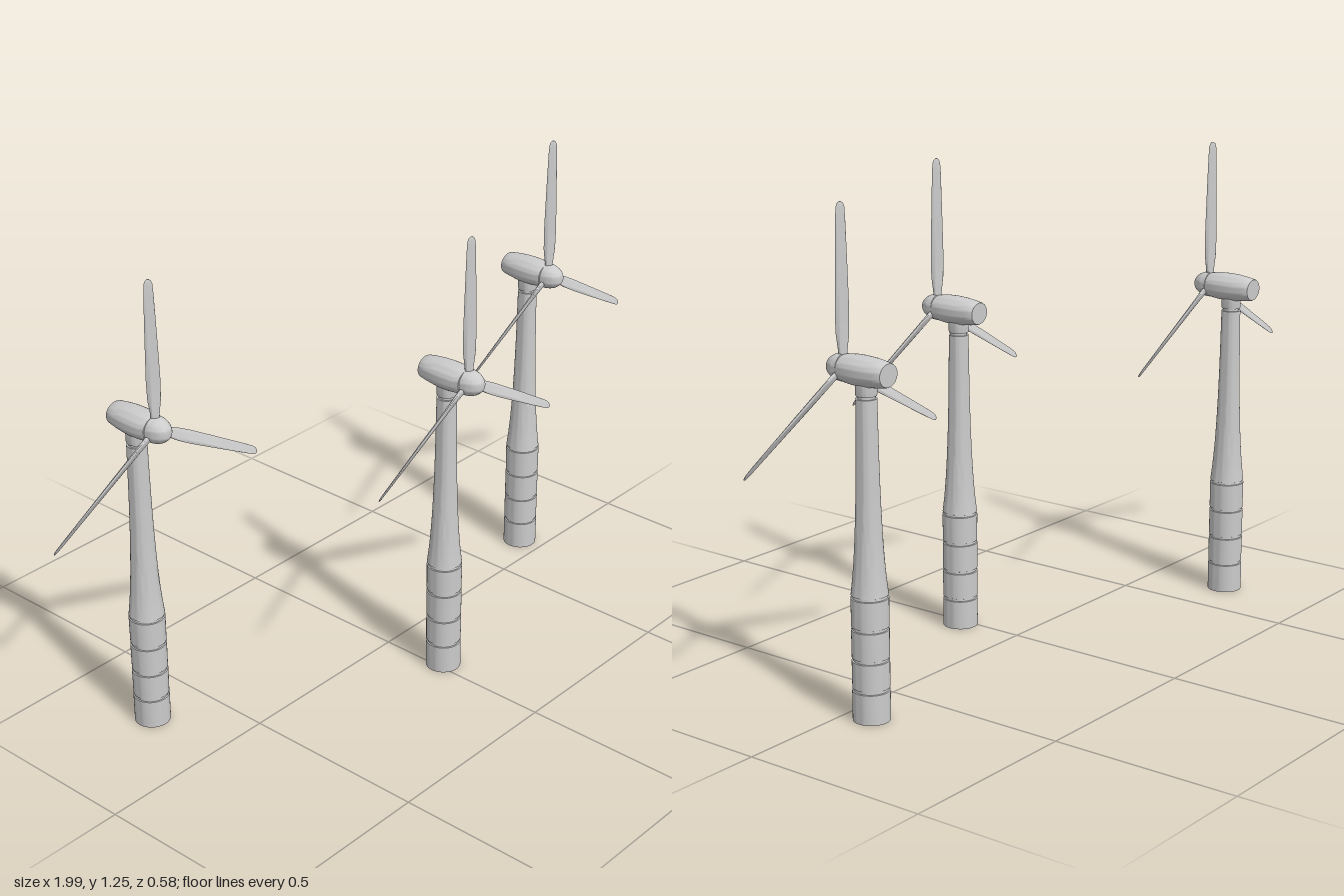
import * as THREE from 'three';
import { toCreasedNormals } from 'three/addons/utils/BufferGeometryUtils.js';

const HUB_Y = 0.858;   // height of the rotor axis
const ROTOR_Z = 0.07;  // rotor plane in front of the tower axis
const material = new THREE.MeshStandardMaterial({ color: 0xcccccc });

function part(name, geometry) {
  const mesh = new THREE.Mesh(geometry, material);
  mesh.name = name;
  return mesh;
}

// Turned solid from [radius, height] pairs, listed bottom to top
function turned(points, segments = 40) {
  const profile = points.map(([r, y]) => new THREE.Vector2(r, y));
  return toCreasedNormals(new THREE.LatheGeometry(profile, segments), 0.5);
}

// Ringed base, flared shaft and yaw collar
function towerGeometry() {
  const points = [[0, 0], [0.046, 0]];
  for (const y of [0.08, 0.156, 0.234, 0.313]) {
    points.push([0.046, y - 0.004], [0.043, y - 0.003], [0.043, y + 0.003], [0.0455, y + 0.004]);
  }
  const flare = new THREE.SplineCurve([
    [0.045, 0.319], [0.0395, 0.37], [0.0345, 0.44], [0.0305, 0.53],
    [0.028, 0.62], [0.0265, 0.71], [0.0255, 0.794],
  ].map(([r, y]) => new THREE.Vector2(r, y)));
  for (const p of flare.getPoints(24)) points.push([p.x, p.y]);
  points.push([0.021, 0.794], [0.021, 0.801], [0.025, 0.801], [0.026, 0.806],
    [0.026, 0.835], [0, 0.835]);
  return turned(points);
}

// Tapered housing with a flat rear, slightly wider than tall
function nacelleGeometry() {
  const geometry = turned([
    [0, -0.069], [0.028, -0.069], [0.0295, -0.066], [0.033, -0.045], [0.0358, -0.02],
    [0.037, 0.005], [0.0365, 0.03], [0.0345, 0.05], [0.032, 0.064], [0, 0.064],
  ]);
  return geometry.rotateX(Math.PI / 2).scale(1.12, 1, 1);
}

// Rounded nose cone
function spinnerGeometry() {
  const points = [[0, 0.062], [0.029, 0.062], [0.029, 0.066]];
  for (let i = 0; i <= 12; i++) {
    const a = (i / 12) * Math.PI / 2;
    points.push([0.034 * Math.cos(a), 0.066 + 0.049 * Math.sin(a)]);
  }
  return turned(points).rotateX(Math.PI / 2);
}

// Pitched blade along +y: [distance from hub, chord, thickness]
const STATIONS = [
  [0.015, 0.018, 0.016], [0.045, 0.024, 0.014], [0.08, 0.033, 0.011], [0.13, 0.035, 0.009],
  [0.2, 0.032, 0.008], [0.28, 0.028, 0.006], [0.35, 0.024, 0.005], [0.375, 0.021, 0.004],
  [0.384, 0.015, 0.003], [0.388, 0.005, 0.002],
];
function bladeGeometry() {
  const rows = STATIONS.length - 1;
  const geometry = new THREE.CylinderGeometry(1, 1, rows, 20, rows);
  const pos = geometry.attributes.position;
  for (let i = 0; i < pos.count; i++) {
    const [y, chord, thickness] = STATIONS[Math.round(pos.getY(i) + rows / 2)];
    pos.setXYZ(i, pos.getX(i) * chord / 2, y, pos.getZ(i) * thickness / 2);
  }
  geometry.rotateY(-0.52);
  return toCreasedNormals(geometry, 0.9);
}

export function createModel() {
  const model = new THREE.Group();
  model.name = 'windFarm';
  const tower = towerGeometry();
  const nacelle = nacelleGeometry();
  const spinner = spinnerGeometry();
  const blade = bladeGeometry();

  // Three identical turbines, staggered in depth
  for (const [x, z] of [[-0.66, -0.225], [0.02, 0.175], [0.66, -0.07]]) {
    const turbine = new THREE.Group();
    turbine.name = 'turbine';
    turbine.position.set(x, 0, z);

    const head = new THREE.Group();
    head.name = 'head';
    head.position.y = HUB_Y;
    head.add(part('nacelle', nacelle), part('spinner', spinner));

    const rotor = new THREE.Group();
    rotor.name = 'rotor';
    rotor.position.z = ROTOR_Z;
    for (let i = 0; i < 3; i++) {
      const mesh = part('blade', blade);
      mesh.rotation.z = (i * 2 * Math.PI) / 3;
      rotor.add(mesh);
    }
    head.add(rotor);
    turbine.add(part('tower', tower), head);
    model.add(turbine);
  }
  return model;
}
